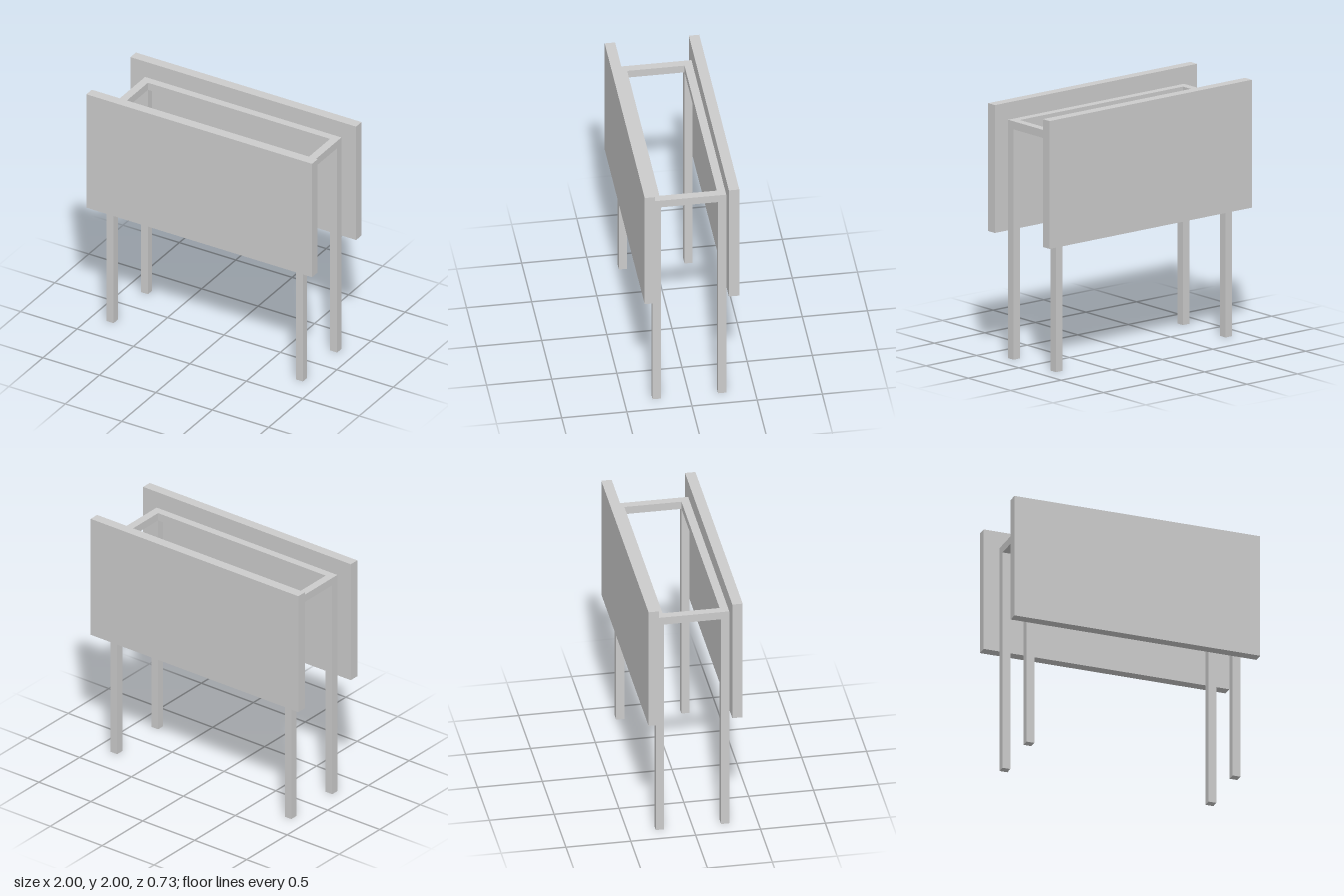
import * as THREE from 'three';

export function createModel() {
  const group = new THREE.Group();
  const material = new THREE.MeshStandardMaterial({ color: 0xcccccc, flatShading: true });

  const bar = 0.063;               // square section of legs and rails
  const outerX = 0.87, outerZ = 0.283;
  const railBottom = 1.802, railTop = railBottom + bar;
  const boardThickness = 0.08;

  function box(name, w, h, d, x, y, z) {
    const mesh = new THREE.Mesh(new THREE.BoxGeometry(w, h, d), material);
    mesh.name = name;
    mesh.position.set(x, y, z);
    group.add(mesh);
  }

  const legX = outerX - bar / 2, legZ = outerZ - bar / 2;
  const railY = (railBottom + railTop) / 2;

  for (const [sz, face] of [[1, 'front'], [-1, 'back']]) {
    // Upright board fixed to the outside of the frame
    box(face + 'Board', 2, 1, boardThickness, 0, 1.5, sz * (outerZ + boardThickness / 2));
    // Long rail between the legs
    box(face + 'Rail', 2 * outerX, bar, bar, 0, railY, sz * legZ);
    // Legs reach the underside of the rails
    for (const [sx, side] of [[1, 'Left'], [-1, 'Right']]) {
      box(face + side + 'Leg', bar, railBottom, bar, sx * legX, railBottom / 2, sz * legZ);
    }
  }

  // Short end rails closing the top frame
  for (const [sx, side] of [[1, 'left'], [-1, 'right']]) {
    box(side + 'EndRail', bar, bar, 2 * (outerZ - bar), sx * legX, railY, 0);
  }
  return group;
}
